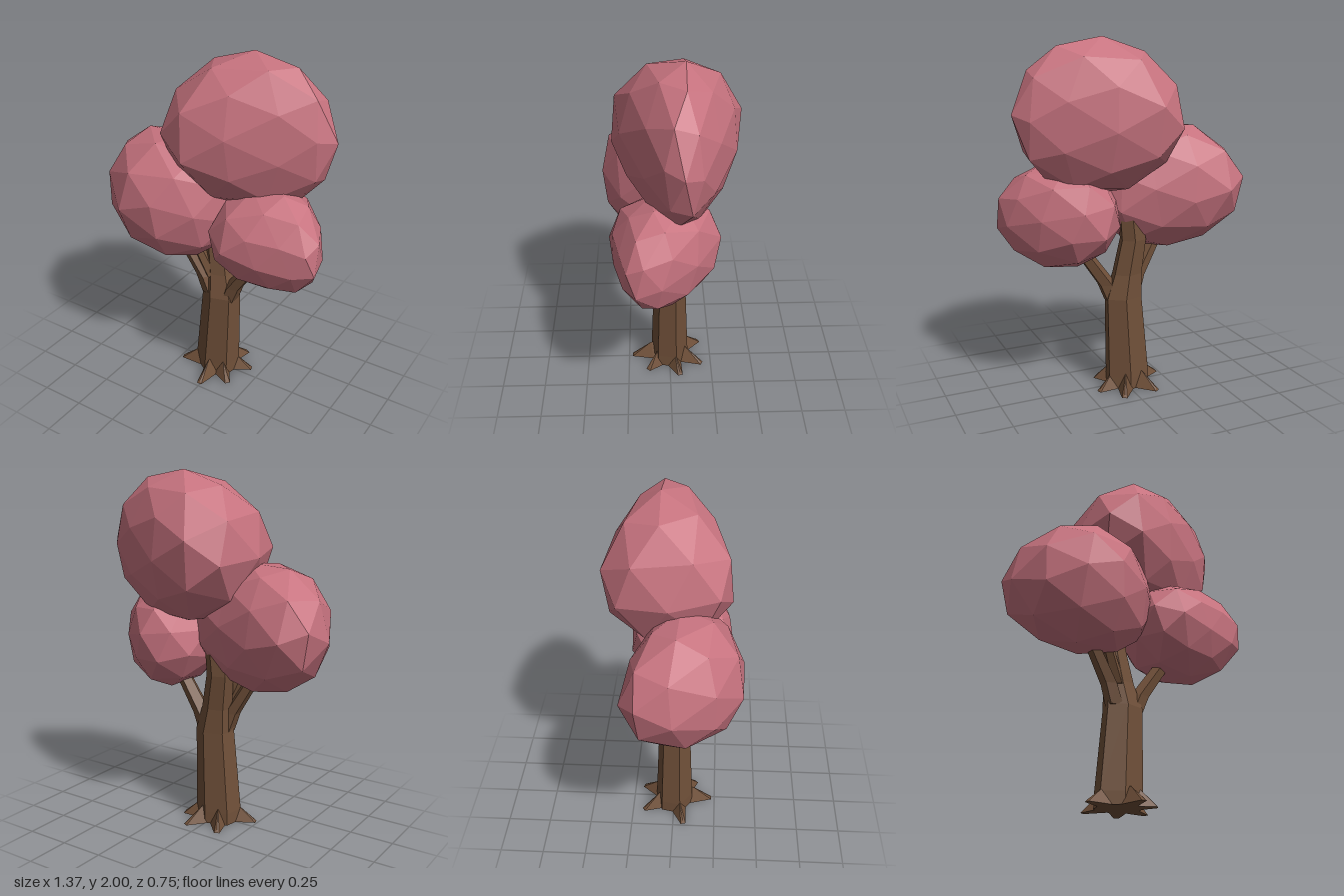
import * as THREE from 'three';
import { ConvexGeometry } from 'three/addons/geometries/ConvexGeometry.js';

const foliage = new THREE.MeshStandardMaterial({ color: 0xc7737f });
foliage.name = 'pink foliage';
const bark = new THREE.MeshStandardMaterial({ color: 0x705039 });
bark.name = 'brown bark';

// separate faces so that every facet has its own normal
function faceted(geometry) {
  const flat = geometry.index ? geometry.toNonIndexed() : geometry;
  flat.computeVertexNormals();
  return flat;
}

function addMesh(group, name, geometry, material) {
  const mesh = new THREE.Mesh(faceted(geometry), material);
  mesh.name = name;
  group.add(mesh);
}

// faceted ball, narrowing in z towards +x, sheared and bent back, then fitted to a box
function crown({ min, max, turn, taper, shearZ, shearY = 0, bend = 0 }) {
  const geometry = new THREE.IcosahedronGeometry(1, 1);
  geometry.rotateZ(turn[2]).rotateX(turn[0]).rotateY(turn[1]);
  const p = geometry.attributes.position;
  for (let i = 0; i < p.count; i++) {
    const x = p.getX(i);
    p.setY(i, p.getY(i) + shearY * x);
    p.setZ(i, p.getZ(i) * Math.exp(-taper * x) + shearZ * x - bend * x * x);
  }
  geometry.computeBoundingBox();
  const from = geometry.boundingBox;
  const size = from.getSize(new THREE.Vector3());
  const low = new THREE.Vector3(...min);
  const span = new THREE.Vector3(...max).sub(low);
  const v = new THREE.Vector3();
  for (let i = 0; i < p.count; i++) {
    v.fromBufferAttribute(p, i).sub(from.min).divide(size).multiply(span).add(low);
    p.setXYZ(i, v.x, v.y, v.z);
  }
  return geometry;
}

// level rings [x, y, z, radius] from bottom to top, with end caps
function limb(rings, sides, turn = 0, depth = 1) {
  const last = rings.length - 1;
  const geometry = new THREE.CylinderGeometry(1, 1, 1, sides, last);
  geometry.rotateY(turn);
  const p = geometry.attributes.position;
  for (let i = 0; i < p.count; i++) {
    const [x, y, z, r] = rings[Math.round((p.getY(i) + 0.5) * last)];
    p.setXYZ(i, x + p.getX(i) * r, y, z + p.getZ(i) * r * depth);
  }
  return geometry;
}

// wedge running out from the trunk to a narrow toe on the ground
function root(degrees, reach) {
  const points = [
    [0.05, 0, -0.05], [0.05, 0, 0.05], [0.1, 0, -0.045], [0.1, 0, 0.045],
    [0.05, 0.1, 0], [0.11, 0.095, 0],
    [reach, 0, -0.015], [reach, 0, 0.015], [reach - 0.01, 0.015, 0],
  ].map((a) => new THREE.Vector3(...a));
  return new ConvexGeometry(points)
    .rotateY(THREE.MathUtils.degToRad(degrees))
    .translate(-0.02, 0, 0.005);
}

export function createModel() {
  const tree = new THREE.Group();
  tree.name = 'tree';

  // trunk with its bend at the fork
  addMesh(tree, 'trunk', limb([
    [-0.02, 0, 0, 0.138], [-0.02, 0.07, 0, 0.136], [0.005, 0.54, 0, 0.115],
    [-0.015, 0.68, -0.01, 0.09], [-0.045, 0.88, -0.025, 0.08], [-0.02, 1.1, -0.03, 0.07],
  ], 6, -0.17, 0.82), bark);

  // branches into the two lower crowns
  addMesh(tree, 'rightBranch', limb([
    [-0.05, 0.54, 0.02, 0.055], [-0.09, 0.65, 0.03, 0.05], [-0.27, 0.95, 0.06, 0.04],
  ], 5, 0.3), bark);
  addMesh(tree, 'rightTwig', limb([
    [-0.04, 0.66, 0.03, 0.04], [-0.15, 0.92, 0.07, 0.03],
  ], 5), bark);
  addMesh(tree, 'leftBranch', limb([
    [0.06, 0.52, 0.01, 0.055], [0.1, 0.62, 0.015, 0.055], [0.28, 0.88, 0.03, 0.045],
  ], 5, 0.9), bark);

  // roots around the base
  const roots = [[-165, 0.225], [-87, 0.225], [-40, 0.2], [18, 0.215], [63, 0.225], [120, 0.22]];
  roots.forEach(([angle, reach], i) => addMesh(tree, `root${i + 1}`, root(angle, reach), bark));

  // crowns
  addMesh(tree, 'topCrown', crown({
    min: [-0.29, 1.16, -0.38], max: [0.65, 2, 0.31],
    turn: [-0.12, 0, 0.05], taper: 0.62, shearZ: -0.05, shearY: 0.03,
  }), foliage);
  addMesh(tree, 'rightCrown', crown({
    min: [-0.69, 0.8, -0.26], max: [0.15, 1.51, 0.375],
    turn: [0.4, 0.2, 0.1], taper: 0.3, shearZ: 0.14, shearY: -0.03, bend: 0.32,
  }), foliage);
  addMesh(tree, 'leftCrown', crown({
    min: [0.05, 0.76, -0.26], max: [0.68, 1.33, 0.33],
    turn: [0.2, 0.1, 0.35], taper: 0.4, shearZ: 0.16, bend: -0.3,
  }), foliage);

  return tree;
}
